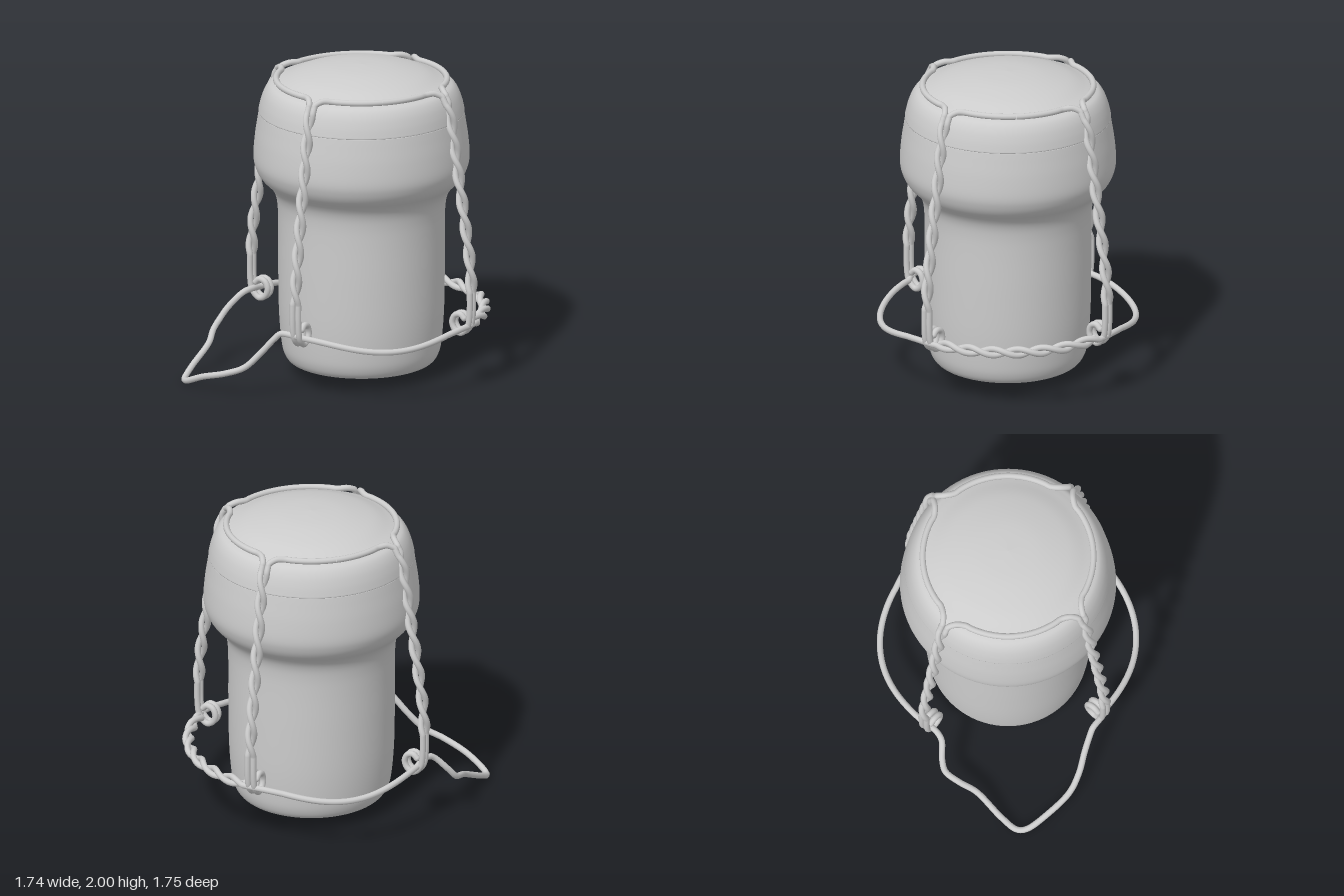
import * as THREE from 'three';

const metal = new THREE.MeshStandardMaterial({ color: 0xcccccc });
metal.name = 'light grey';

const WIRE = 0.0195;          // wire radius
const TWIST = 0.02;           // distance of each strand from the twist axis
const CENTRE = new THREE.Vector3(0.03, 0, -0.04);
const clamp01 = (v) => Math.min(1, Math.max(0, v));

function mesh(name, geometry) {
  const m = new THREE.Mesh(geometry, metal);
  m.name = name;
  return m;
}

// Round wire through points, with rounded tips
function wire(name, points, segments, tips) {
  const curve = new THREE.CatmullRomCurve3(points, false, 'centripetal');
  curve.arcLengthDivisions = 1200;
  const group = new THREE.Group();
  group.name = name;
  group.add(mesh('wire', new THREE.TubeGeometry(curve, segments, WIRE, 10, false)));
  for (const p of tips) {
    const tip = mesh('wireTip', new THREE.SphereGeometry(WIRE, 10, 8));
    tip.position.copy(p);
    group.add(tip);
  }
  return group;
}

// Turned solid: straight lead-in points, a smooth profile, straight closing points
function turned(name, before, smooth, after) {
  const v = (list) => list.map(([r, y]) => new THREE.Vector2(r, y));
  const profile = new THREE.SplineCurve(v(smooth)).getPoints(smooth.length * 6);
  return mesh(name, new THREE.LatheGeometry([...v(before), ...profile, ...v(after)], 80));
}

// One strand of an arm: half a quarter of the top ring, the twist, then the hook
function armStrand(side) {
  const points = [];
  for (let deg = 45; deg >= 11; deg -= 4.25) {
    const a = THREE.MathUtils.degToRad(deg);
    points.push(new THREE.Vector3(0.533 * Math.cos(a), 1.905, side * 0.533 * Math.sin(a)));
  }
  points.push(new THREE.Vector3(0.56, 1.907, side * 0.05));
  const axis = new THREE.SplineCurve([
    [0.6, 1.885], [0.637, 1.8], [0.672, 1.6], [0.703, 1.4], [0.735, 1.2], [0.765, 1],
    [0.792, 0.8], [0.8, 0.6], [0.797, 0.48], [0.782, 0.41], [0.735, 0.366], [0.69, 0.385],
    [0.672, 0.43], [0.69, 0.475], [0.73, 0.488], [0.758, 0.465],
  ].map(([r, y]) => new THREE.Vector2(r, y)));
  const steps = 130;
  for (let i = 0; i <= steps; i++) {
    const p = axis.getPointAt(i / steps);
    const t = axis.getTangentAt(i / steps);
    const turn = 7 * Math.PI * clamp01((1.84 - p.y) / 1.2);
    const out = side * TWIST * Math.sin(turn);
    points.push(new THREE.Vector3(p.x - t.y * out, p.y + t.x * out, side * TWIST * Math.cos(turn)));
  }
  return wire('armStrand', points, 280, [points[points.length - 1]]);
}

// Point on the lower ring; the back left quarter (-90 to 0 degrees) is twisted
function ringPoint(deg, strand) {
  const a = THREE.MathUtils.degToRad(deg);
  const local = deg > 180 ? deg - 360 : deg;
  const twisted = local >= -90 && local <= 0;
  const wave = Math.cos(4 * a);
  const turn = 7 * Math.PI * clamp01((local + 85) / 80);
  const beyond = local > 0 ? local : Math.max(0, -90 - local);
  const amount = strand * TWIST * clamp01(1 - beyond / 15);
  const r = (twisted ? 0.768 : 0.784 - 0.016 * wave) + amount * Math.cos(turn);
  const y = (twisted ? 0.416 : 0.386 + 0.03 * wave) + amount * Math.sin(turn);
  return new THREE.Vector3(r * Math.cos(a), y, r * Math.sin(a));
}

function lowerRing() {
  const points = [];
  for (let deg = -85; deg <= 87; deg += 2) points.push(ringPoint(deg, -1));
  // Pull tab bent out of the ring at the front
  const tab = [
    [0.03, 0.425, 0.745], [-0.08, 0.43, 0.755], [-0.12, 0.395, 0.765], [-0.2, 0.3, 0.79],
    [-0.3, 0.195, 0.83], [-0.42, 0.145, 0.857], [-0.6, 0.09, 0.835], [-0.75, 0.028, 0.785],
    [-0.79, 0.024, 0.74], [-0.805, 0.07, 0.63], [-0.805, 0.17, 0.42], [-0.84, 0.22, 0.31],
    [-0.855, 0.26, 0.21], [-0.825, 0.33, 0.155], [-0.755, 0.42, 0.09], [-0.735, 0.43, 0.02],
  ];
  for (const p of tab) points.push(new THREE.Vector3(...p).sub(CENTRE));
  for (let deg = 183; deg <= 355; deg += 2) points.push(ringPoint(deg, 1));
  return wire('lowerRing', points, 520, [points[0], points[points.length - 1]]);
}

export function createModel() {
  const model = new THREE.Group();
  model.name = 'corkWithWireCage';
  const body = new THREE.Group();
  body.name = 'corkAndCage';
  body.position.copy(CENTRE);
  model.add(body);

  // Stopper with a narrow shank and a swollen head
  body.add(turned('cork', [[0, 0.07], [0.2, 0.07]], [
    [0.4, 0.07], [0.455, 0.088], [0.487, 0.14], [0.503, 0.23], [0.516, 0.42], [0.52, 0.7],
    [0.52, 0.95], [0.524, 1.08], [0.538, 1.16], [0.57, 1.218], [0.63, 1.28], [0.662, 1.34],
    [0.675, 1.41], [0.667, 1.53], [0.651, 1.64], [0.641, 1.7],
  ], [[0.6, 1.7]]));

  // Pressed cap with a shallow dome
  body.add(turned('cap', [[0.6, 1.7], [0.643, 1.7]], [
    [0.644, 1.704], [0.63, 1.765], [0.608, 1.825], [0.578, 1.868], [0.54, 1.888],
    [0.49, 1.908], [0.38, 1.95], [0.2, 1.987], [0, 2],
  ], []));

  // Four twisted arms; their upper ends join into the top ring
  for (let i = 0; i < 4; i++) {
    const arm = new THREE.Group();
    arm.name = 'cageArm';
    arm.rotation.y = (i * Math.PI) / 2;
    arm.add(armStrand(1), armStrand(-1));
    body.add(arm);
  }

  body.add(lowerRing());
  return model;
}
